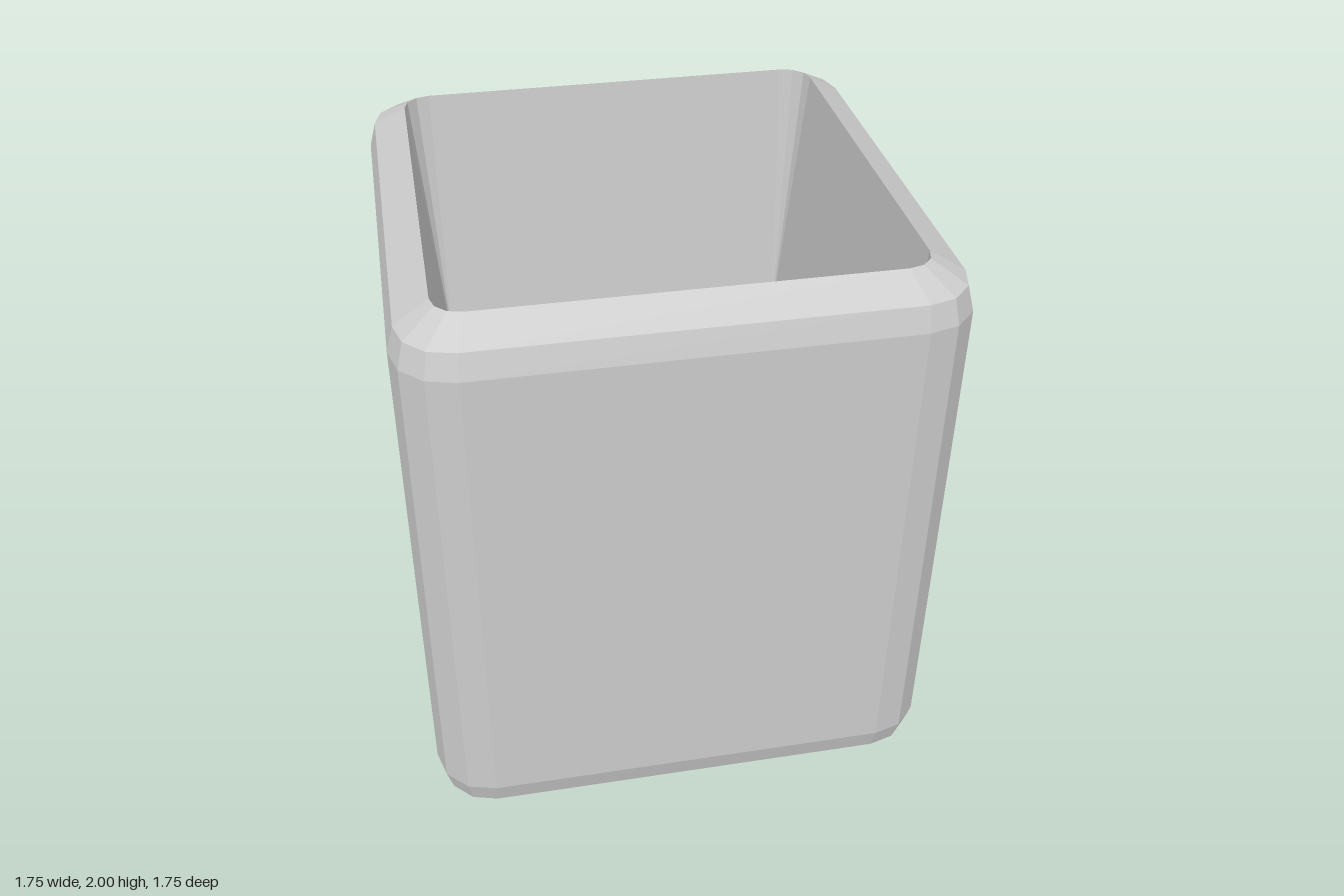
import * as THREE from 'three';

// Square ring with each corner rounded in three segments
function roundedSquare(core, radius, y) {
  const points = [];
  for (let corner = 0; corner < 4; corner++) {
    const diagonal = Math.PI / 4 + corner * Math.PI / 2;
    const cx = core * Math.SQRT2 * Math.cos(diagonal);
    const cz = core * Math.SQRT2 * Math.sin(diagonal);
    for (let s = 0; s <= 3; s++) {
      const a = (corner + s / 3) * Math.PI / 2;
      points.push(new THREE.Vector3(cx + radius * Math.cos(a), y, cz + radius * Math.sin(a)));
    }
  }
  return points;
}

// Skin a closed loop of rings, dropping collapsed triangles
function skinRings(rings) {
  const positions = [];
  const addTriangle = (...corners) => {
    if (new THREE.Triangle(...corners).getArea() < 1e-7) return;
    for (const p of corners) positions.push(p.x, p.y, p.z);
  };
  rings.forEach((ring, i) => {
    const next = rings[(i + 1) % rings.length];
    ring.forEach((p, j) => {
      const k = (j + 1) % ring.length;
      addTriangle(p, next[j], ring[k]);
      addTriangle(ring[k], next[j], next[k]);
    });
  });
  const geometry = new THREE.BufferGeometry();
  geometry.setAttribute('position', new THREE.Float32BufferAttribute(positions, 3));
  geometry.computeVertexNormals();
  return geometry;
}

export function createModel() {
  const group = new THREE.Group();
  group.name = 'openSquareTube';

  // Wall section: up the outside, over the rim, then down the pinched bore
  const section = [ // [core half-width, corner radius, height]
    [0.65, 0.09, 0],
    [0.68, 0.17, 0.063],
    [0.683, 0.19, 0.146],
    [0.683, 0.19, 1.854],
    [0.68, 0.17, 1.937],
    [0.65, 0.09, 2],
    [0.645, 0, 1], // bore narrows to sharp corners at mid height
  ];
  const tube = new THREE.Mesh(
    skinRings(section.map((ring) => roundedSquare(...ring))),
    new THREE.MeshStandardMaterial({ color: 0xcccccc, flatShading: true }),
  );
  tube.name = 'tubeWall';
  group.add(tube);
  return group;
}
